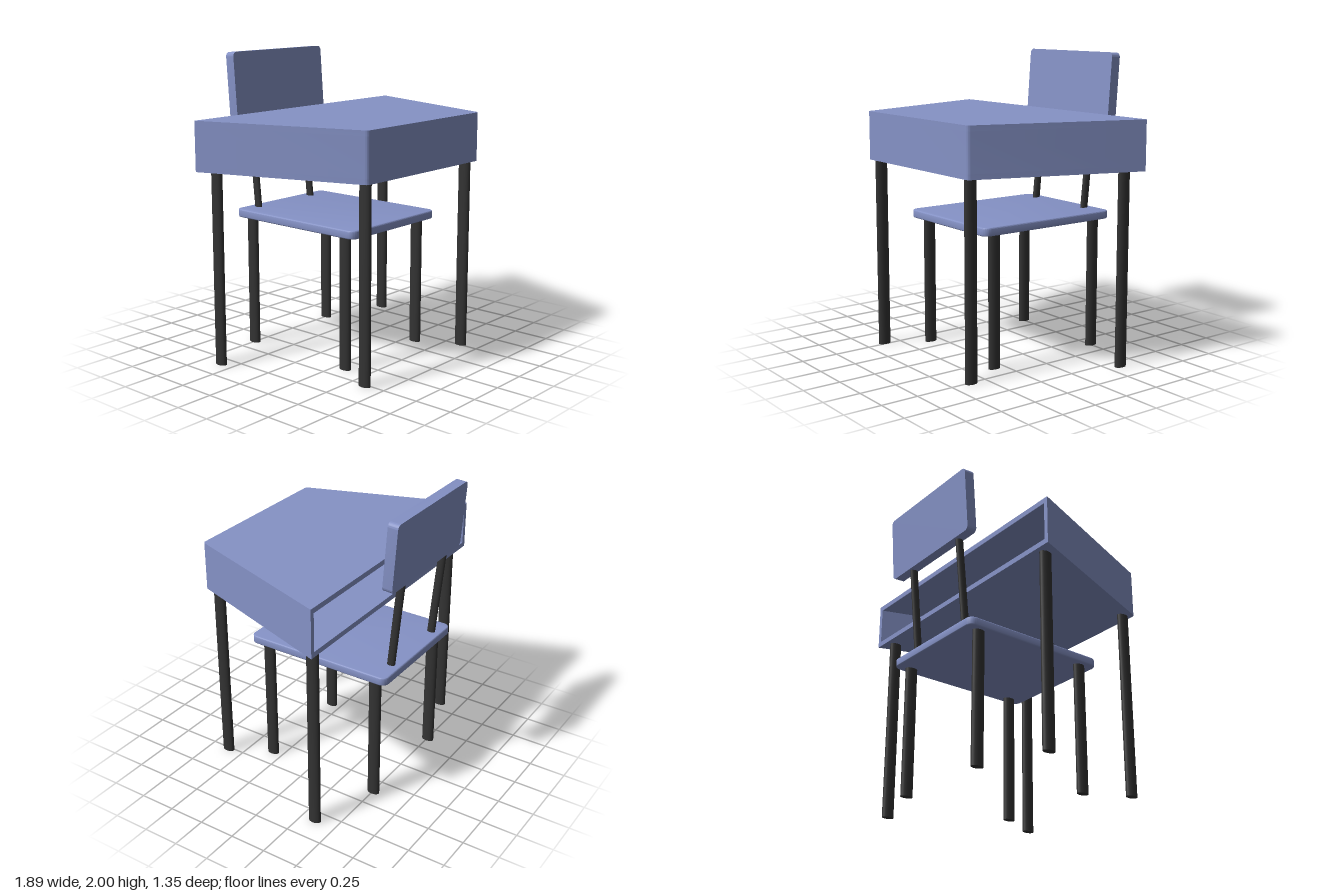
import * as THREE from 'three';
import { toCreasedNormals } from 'three/addons/utils/BufferGeometryUtils.js';

const blue = new THREE.MeshStandardMaterial({ color: 0x8592c6 });
const dark = new THREE.MeshStandardMaterial({ color: 0x333333 });

function add(parent, name, geometry, material, x = 0, y = 0, z = 0) {
  const mesh = new THREE.Mesh(geometry, material);
  mesh.name = name;
  mesh.position.set(x, y, z);
  parent.add(mesh);
  return mesh;
}

// Rounded rectangle centred on the origin
function roundedRect(w, h, r) {
  const s = new THREE.Shape();
  const x = w / 2 - r, y = h / 2 - r;
  s.absarc(x, y, r, 0, Math.PI / 2);
  s.absarc(-x, y, r, Math.PI / 2, Math.PI);
  s.absarc(-x, -y, r, Math.PI, Math.PI * 1.5);
  s.absarc(x, -y, r, Math.PI * 1.5, Math.PI * 2);
  s.closePath();
  return s;
}

function extrude(shape, depth, bevel = 0) {
  const g = new THREE.ExtrudeGeometry(shape, {
    depth: depth - 2 * bevel, curveSegments: 6,
    bevelEnabled: bevel > 0, bevelSize: bevel, bevelOffset: -bevel,
    bevelThickness: bevel, bevelSegments: 3,
  });
  g.translate(0, 0, bevel);
  return toCreasedNormals(g, 0.6);
}

// Lays an extrusion flat: shape y becomes z, thickness goes down from y = 0
const flat = (shape, depth, bevel) => extrude(shape, depth, bevel).rotateX(Math.PI / 2);

// Upright leg with an oval section, standing on the floor
function leg(parent, name, x, z, height) {
  const g = new THREE.CylinderGeometry(1, 1, height, 24);
  g.scale(0.027, 1, 0.043);
  add(parent, name, g, dark, x, height / 2, z);
}

const BACK = -0.42, FRONT = 0.675, WIDE = 0.945, NARROW = 0.57;

// Tapered desk outline with slightly softened front corners
function deskOutline() {
  const s = new THREE.Shape();
  s.moveTo(-WIDE, BACK);
  s.lineTo(WIDE, BACK);
  s.lineTo(NARROW + 0.007, FRONT - 0.02);
  s.quadraticCurveTo(NARROW, FRONT, NARROW - 0.02, FRONT);
  s.lineTo(-NARROW + 0.02, FRONT);
  s.quadraticCurveTo(-NARROW, FRONT, -NARROW - 0.007, FRONT - 0.02);
  s.closePath();
  return s;
}

// U-shaped wall, open at the back
function wallOutline(t) {
  const s = new THREE.Shape();
  s.moveTo(WIDE - t, BACK);
  s.lineTo(WIDE, BACK);
  s.lineTo(NARROW + 0.007, FRONT - 0.02);
  s.quadraticCurveTo(NARROW, FRONT, NARROW - 0.02, FRONT);
  s.lineTo(-NARROW + 0.02, FRONT);
  s.quadraticCurveTo(-NARROW, FRONT, -NARROW - 0.007, FRONT - 0.02);
  s.lineTo(-WIDE, BACK);
  s.lineTo(-WIDE + t, BACK);
  s.lineTo(-NARROW + t * 0.65, FRONT - t);
  s.lineTo(NARROW - t * 0.65, FRONT - t);
  s.closePath();
  return s;
}

function createDesk() {
  const desk = new THREE.Group();
  desk.name = 'desk';
  const top = 1.61, bottom = 1.285, t = 0.035;
  add(desk, 'deskTop', flat(deskOutline(), t), blue, 0, top);
  add(desk, 'deskWalls', flat(wallOutline(0.03), top - bottom - 2 * t), blue, 0, top - t);
  add(desk, 'deskShelf', flat(deskOutline(), t), blue, 0, bottom + t);
  for (const s of [-1, 1]) {
    leg(desk, 'deskFrontLeg', s * 0.515 - 0.003, 0.613, bottom);
    leg(desk, 'deskBackLeg', s * 0.832 - 0.003, -0.347, bottom);
  }
  return desk;
}

function createChair() {
  const chair = new THREE.Group();
  chair.name = 'chair';
  chair.position.x = -0.003;
  add(chair, 'seat', flat(roundedRect(0.856, 1.05, 0.05), 0.055, 0.008), blue, 0, 0.94, -0.085);
  for (const s of [-1, 1]) {
    leg(chair, 'chairFrontLeg', s * 0.37, 0.327, 0.886);
    leg(chair, 'chairBackLeg', s * 0.37, -0.504, 0.886);
  }

  // Leaning rods from the seat to the backrest
  const from = new THREE.Vector3(0, 0.92, -0.538);
  const to = new THREE.Vector3(0, 1.57, -0.602);
  const span = to.clone().sub(from);
  for (const x of [-0.279, 0.24]) {
    const g = new THREE.CylinderGeometry(1, 1, span.length(), 20);
    g.scale(0.019, 1, 0.028);
    const rod = add(chair, 'backSupport', g, dark, x, (from.y + to.y) / 2, (from.z + to.z) / 2);
    rod.quaternion.setFromUnitVectors(new THREE.Vector3(0, 1, 0), span.normalize().clone());
    span.copy(to).sub(from);
  }

  // Backrest panel, tilted backwards
  const panel = extrude(roundedRect(0.856, 0.455, 0.03), 0.07).translate(0, 0, -0.035);
  const back = add(chair, 'backrest', panel, blue, 0, 1.77, -0.624);
  back.rotation.x = -0.072;
  return chair;
}

export function createModel() {
  const model = new THREE.Group();
  model.name = 'schoolDeskAndChair';
  model.add(createDesk(), createChair());
  return model;
}
